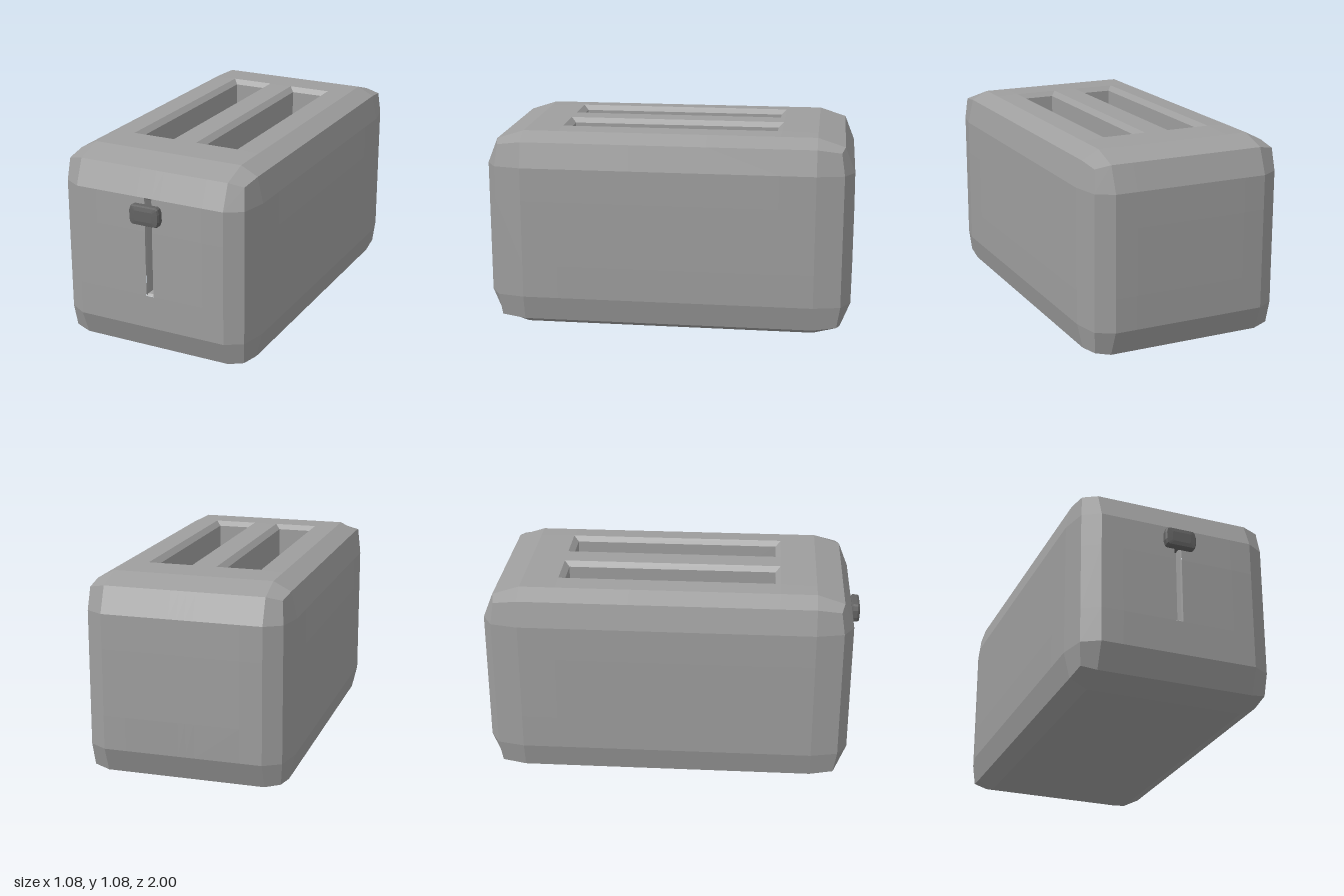
import * as THREE from 'three';

const shell = new THREE.MeshStandardMaterial({ color: 0x9e9e9e });
const darkPlastic = new THREE.MeshStandardMaterial({ color: 0x636363 });

// Builds quads with one flat normal each, so slightly bent quads show no diagonal
function meshFromQuads(name, quads, material) {
  const pos = [], normals = [];
  for (const quad of quads) {
    const [a, b, c, d] = quad.map((p) => new THREE.Vector3(...p));
    const n = c.clone().sub(a).cross(d.clone().sub(b)).normalize();
    for (const p of [a, b, c, a, c, d]) {
      pos.push(p.x, p.y, p.z);
      normals.push(n.x, n.y, n.z);
    }
  }
  const geometry = new THREE.BufferGeometry();
  geometry.setAttribute('position', new THREE.Float32BufferAttribute(pos, 3));
  geometry.setAttribute('normal', new THREE.Float32BufferAttribute(normals, 3));
  const mesh = new THREE.Mesh(geometry, material);
  mesh.name = name;
  return mesh;
}

// Outline with cut corners (cut = 0 gives a plain rectangle), counter-clockwise, at depth z
function outline(w, h, z, cut = 0, bulge = 0) {
  if (!cut) return [[-w, -h, z], [w, -h, z], [w, h, z], [-w, h, z]];
  const half = [[w - cut, -h, z], [w - cut * 0.2, -h + cut * 0.5, z], [w + bulge, -h * 0.4, z],
    [w + bulge, h * 0.4, z], [w - cut * 0.2, h - cut * 0.5, z], [w - cut, h, z]];
  return [...half, ...half.map(([x, y]) => [-x, -y, z])];
}

// Joins outlines into walls and caps the last: going down makes a recess, going up a solid
function loft(name, loops, material) {
  const quads = [];
  for (let i = 0; i + 1 < loops.length; i++) {
    const p = loops[i], q = loops[i + 1];
    p.forEach((a, k) => {
      const n = (k + 1) % p.length;
      quads.push([a, p[n], q[n], q[k]]);
    });
  }
  const last = loops[loops.length - 1];
  const mid = [0, 0, last[0][2]];
  for (let k = 0; k < last.length; k += 2) {
    quads.push([mid, last[k], last[k + 1], last[(k + 2) % last.length]]);
  }
  return meshFromQuads(name, quads, material);
}

// Body: a soft box whose extremes pull in at edges and, further, at corners
const FACE = [0.538, 0.54, 0.975];
const EDGE = [0.505, 0.488, 0.918];
const CORNER = [0.495, 0.472, 0.9];
const RING = [0.415, 0.355, 0.775];
const RIM_DROP = [0.002, 0.006, 0.004];
const CENTRE = [0, 0.54, -0.025];
const LEVELS = [
  [0.02, 0.065, 0.3, 0.415, 1],
  [0.175, 0.355, 1],
  [0.2, 0.585, 0.775, 1],
].map((l) => [...l.map((v) => -v).reverse(), ...l]);

function bodyPoint(p) {
  const extremes = p.filter((v) => Math.abs(v) === 1).length;
  const nearRim = p.some((v, i) => Math.abs(v) !== 1 && Math.abs(v) >= RING[i]);
  return p.map((v, i) => {
    if (Math.abs(v) !== 1) return CENTRE[i] + v;
    let size = [FACE, EDGE, CORNER][extremes - 1][i];
    if (extremes === 1 && nearRim) size -= RIM_DROP[i];
    return CENTRE[i] + Math.sign(v) * size;
  });
}

// Cells left open for the bread slots and the lever track
function isOpening(axis, side, [x, y, z]) {
  if (side < 0) return false;
  if (axis === 1) return Math.abs(x) > 0.065 && Math.abs(x) < 0.3 && Math.abs(z) < 0.585;
  return axis === 2 && Math.abs(x) < 0.02 && y > -0.175 && y < 0.355;
}

function makeBody() {
  const quads = [];
  for (let axis = 0; axis < 3; axis++) {
    const u = (axis + 1) % 3, v = (axis + 2) % 3;
    for (const side of [-1, 1]) {
      const at = (a, b) => {
        const p = [0, 0, 0];
        p[axis] = side; p[u] = a; p[v] = b;
        return p;
      };
      for (let i = 0; i + 1 < LEVELS[u].length; i++) {
        for (let j = 0; j + 1 < LEVELS[v].length; j++) {
          const [a, b] = [LEVELS[u][i], LEVELS[u][i + 1]];
          const [c, d] = [LEVELS[v][j], LEVELS[v][j + 1]];
          if (isOpening(axis, side, at((a + b) / 2, (c + d) / 2))) continue;
          const quad = [at(a, c), at(b, c), at(b, d), at(a, d)].map(bodyPoint);
          quads.push(side > 0 ? quad : quad.reverse());
        }
      }
    }
  }
  return meshFromQuads('body', quads, shell);
}

export function createModel() {
  const model = new THREE.Group();
  model.name = 'toaster';
  model.add(makeBody());

  // Bread slots with a bevelled rim
  for (const side of [-1, 1]) {
    const slot = loft(side > 0 ? 'leftBreadSlot' : 'rightBreadSlot', [
      outline(0.1175, 0.585, 0),
      outline(0.09, 0.557, -0.025),
      outline(0.09, 0.557, -0.8),
    ], shell);
    slot.rotation.x = -Math.PI / 2;
    slot.position.set(side * 0.1825, 1.08, -0.025);
    model.add(slot);
  }

  // Lever track in the front
  const track = loft('leverTrack', [
    outline(0.02, 0.265, 0),
    outline(0.016, 0.255, -0.012),
    outline(0.016, 0.255, -0.06),
  ], shell);
  track.position.set(0, 0.63, 0.948);
  model.add(track);

  // Lever: a stem in the track carrying a rounded knob
  const lever = new THREE.Group();
  lever.name = 'lever';
  lever.position.set(0, 0.817, 0);
  lever.add(loft('leverStem', [outline(0.014, 0.03, 0.89), outline(0.014, 0.03, 0.96)], darkPlastic));
  lever.add(loft('leverKnob', [
    outline(0.04, 0.03, 0.945, 0.008),
    outline(0.074, 0.046, 0.953, 0.012, 0.003),
    outline(0.08, 0.052, 0.961, 0.014, 0.005),
    outline(0.08, 0.052, 0.986, 0.014, 0.005),
    outline(0.076, 0.047, 0.996, 0.012, 0.003),
    outline(0.05, 0.027, 1.0, 0.008),
  ], darkPlastic));
  model.add(lever);
  return model;
}
